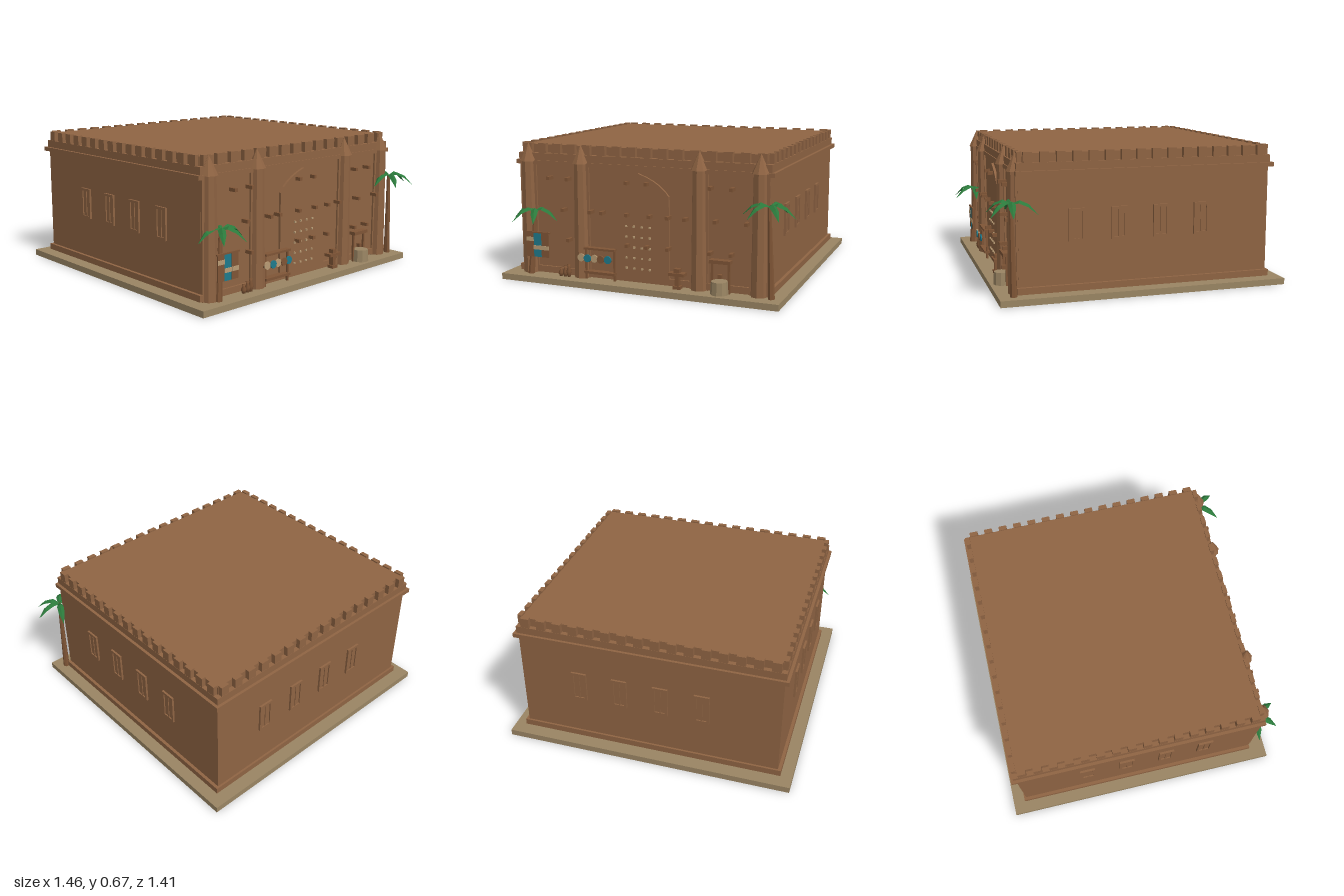
import * as THREE from 'three';

const mat = (name, color, side = THREE.FrontSide) => {
  const m = new THREE.MeshStandardMaterial({ color, side });
  m.name = name;
  return m;
};

export function createModel() {
  const root = new THREE.Group();
  root.name = 'adobeHall';
  const adobe = mat('adobe', 0x8f6443);
  const stone = mat('sandstone', 0x9a8563);
  const wood = mat('wood', 0x7f5536);
  const cream = mat('cream', 0xb99b74);
  const teal = mat('teal', 0x1f7a8c, THREE.DoubleSide);
  const leaf = mat('palmLeaf', 0x2c7a3c, THREE.DoubleSide);

  const add = (name, geo, material, x = 0, y = 0, z = 0, parent = root) => {
    const m = new THREE.Mesh(geo, material);
    m.name = name;
    m.position.set(x, y, z);
    parent.add(m);
    return m;
  };
  // Box given by its two extreme corners
  const box = (name, material, x0, x1, y0, y1, z0, z1, parent = root) =>
    add(name, new THREE.BoxGeometry(x1 - x0, y1 - y0, z1 - z0), material,
      (x0 + x1) / 2, (y0 + y1) / 2, (z0 + z1) / 2, parent);
  // Faceted copy of a round geometry
  const flat = (geo) => {
    const g = geo.toNonIndexed();
    g.computeVertexNormals();
    return g;
  };
  const cyl = (rt, rb, h, n = 8) => flat(new THREE.CylinderGeometry(rt, rb, h, n));

  // Main masses
  box('baseSlab', stone, -0.7, 0.7, 0, 0.03, -0.67, 0.7);
  box('walls', adobe, -0.63, 0.63, 0.03, 0.62, -0.6, 0.605);
  box('plinth', adobe, -0.645, 0.645, 0.035, 0.065, -0.61, 0.615);
  box('cornice', adobe, -0.65, 0.65, 0.565, 0.585, -0.62, 0.615);
  box('parapet', adobe, -0.636, 0.636, 0.585, 0.62, -0.607, 0.61);
  box('roof', adobe, -0.615, 0.615, 0.62, 0.66, -0.585, 0.582);

  // Merlons around the roof edge
  const merlons = new THREE.Group();
  merlons.name = 'merlons';
  root.add(merlons);
  for (let i = 0; i < 16; i++) {
    const p = -0.59 + i * 0.0787;
    for (const z of [-0.595, 0.592]) box('merlon', adobe, p - 0.021, p + 0.021, 0.62, 0.667, z - 0.011, z + 0.011, merlons);
    const q = -0.56 + i * 0.0745;
    for (const x of [-0.624, 0.624]) box('merlon', adobe, x - 0.011, x + 0.011, 0.62, 0.667, q - 0.02, q + 0.02, merlons);
  }

  // Windows: frame with mullion, on both sides and the back
  const addWindow = (x, z, turn) => {
    const g = new THREE.Group();
    g.name = 'window';
    g.position.set(x, 0.335, z);
    g.rotation.y = turn;
    root.add(g);
    for (const s of [-1, 1]) {
      add('jamb', new THREE.BoxGeometry(0.012, 0.15, 0.01), adobe, s * 0.031, 0, 0.005, g);
      add('rail', new THREE.BoxGeometry(0.05, 0.012, 0.01), adobe, 0, s * 0.069, 0.005, g);
    }
    add('pane', new THREE.BoxGeometry(0.05, 0.126, 0.004), adobe, 0, 0, 0.002, g);
    add('mullion', new THREE.BoxGeometry(0.008, 0.126, 0.008), adobe, 0, 0, 0.004, g);
  };
  for (const p of [-0.26, -0.06, 0.14, 0.34]) {
    addWindow(0.63, p, Math.PI / 2);
    addWindow(-0.63, p, -Math.PI / 2);
    addWindow(p, -0.6, Math.PI);
  }

  // Front towers with pointed caps
  for (const x of [-0.585, -0.3, 0.3, 0.585]) {
    box('buttress', adobe, x - 0.044, x + 0.044, 0.03, 0.575, 0.59, 0.614);
    add('tower', cyl(0.033, 0.04, 0.55), adobe, x, 0.305, 0.607);
    add('towerCap', cyl(0.002, 0.042, 0.085), adobe, x, 0.6225, 0.605);
  }

  // Pointed gate with studs
  const arch = new THREE.Shape();
  arch.moveTo(-0.155, 0.065);
  arch.lineTo(0.155, 0.065);
  arch.lineTo(0.155, 0.45);
  arch.quadraticCurveTo(0.11, 0.515, 0, 0.55);
  arch.quadraticCurveTo(-0.11, 0.515, -0.155, 0.45);
  add('gate', new THREE.ExtrudeGeometry(arch, { depth: 0.012, bevelEnabled: false, curveSegments: 5 }), adobe, 0, 0, 0.605);
  for (let i = 0; i < 4; i++) for (let j = 0; j < 5; j++)
    add('gateStud', new THREE.BoxGeometry(0.009, 0.009, 0.008), cream, -0.06 + i * 0.04, 0.1 + j * 0.05, 0.62);

  // Projecting wall beams
  const beamRows = [
    [0.505, [-0.46, -0.36, -0.05, 0.05, 0.36, 0.46]],
    [0.355, [-0.385, -0.24, -0.18, -0.05, 0.065, 0.155, 0.24, 0.385, 0.53]],
    [0.21, [-0.36, -0.05, 0.05, 0.155, 0.36, 0.46]],
  ];
  for (const [y, xs] of beamRows) for (const x of xs)
    box('wallBeam', wood, x - 0.008, x + 0.008, y - 0.008, y + 0.008, 0.6, 0.645);

  // Hanging rugs
  box('rugRail', wood, -0.585, -0.45, 0.236, 0.243, 0.65, 0.658);
  [[-0.56, wood, 0.205], [-0.52, teal, 0.165], [-0.478, wood, 0.165]].forEach(([x, m, y]) => {
    box('rug', m, x - 0.02, x + 0.02, 0.118, 0.237, 0.651, 0.657);
    box('rugStripe', cream, x - 0.02, x + 0.02, y - 0.01, y + 0.01, 0.655, 0.66);
  });

  // Stall with displayed plates
  for (const x of [-0.268, -0.118]) box('stallPost', wood, x - 0.005, x + 0.005, 0.03, 0.185, 0.625, 0.635);
  box('stallTop', wood, -0.273, -0.113, 0.175, 0.185, 0.615, 0.645);
  box('stallCounter', wood, -0.273, -0.113, 0.058, 0.07, 0.61, 0.645);
  box('stallRail', wood, -0.295, -0.12, 0.128, 0.136, 0.646, 0.652);
  [cream, teal, cream, wood, teal].forEach((m, i) => {
    const d = add('plate', new THREE.CylinderGeometry(0.019, 0.019, 0.006, 12), m, -0.28 + i * 0.035, 0.138, 0.658 + (i % 2) * 0.004);
    d.rotation.x = Math.PI / 2;
  });

  // Clay pots
  [[-0.405, 0.04], [-0.382, 0.05], [-0.362, 0.06]].forEach(([x, h]) => {
    const prof = [[0, 0], [0.008, 0], [0.013, 0.45], [0.006, 0.8], [0.009, 1], [0, 1]];
    add('pot', new THREE.LatheGeometry(prof.map(([r, y]) => new THREE.Vector2(r, y * h)), 8), wood, x, 0.03, 0.635);
  });

  // Pedestal table
  box('pedestalFoot', wood, 0.185, 0.222, 0.03, 0.045, 0.617, 0.65);
  box('pedestalStem', wood, 0.193, 0.214, 0.045, 0.092, 0.62, 0.645);
  box('pedestalTop', wood, 0.165, 0.242, 0.092, 0.106, 0.614, 0.652);
  box('pedestalBowl', wood, 0.19, 0.217, 0.106, 0.125, 0.62, 0.645);

  // Well with a small canopy
  add('well', cyl(0.038, 0.042, 0.06, 10), stone, 0.41, 0.06, 0.642);
  for (const x of [0.37, 0.45]) box('wellPost', wood, x - 0.005, x + 0.005, 0.03, 0.17, 0.622, 0.632);
  box('wellCanopy', wood, 0.36, 0.46, 0.168, 0.184, 0.61, 0.645);
  box('wellBucket', wood, 0.401, 0.419, 0.1, 0.118, 0.625, 0.643);

  // Arched palm frond with a raised centre rib
  const frond = () => {
    const st = [[0, 0, 0.006], [0.04, 0.016, 0.017], [0.08, 0, 0.015], [0.122, -0.046, 0.001]];
    const pos = [];
    for (let i = 0; i < 3; i++) for (const s of [-1, 1]) {
      const [a, b] = [st[i], st[i + 1]];
      const ra = [a[0], a[1], 0], rb = [b[0], b[1], 0];
      const ea = [a[0], a[1] - a[2] * 0.7, s * a[2]], eb = [b[0], b[1] - b[2] * 0.7, s * b[2]];
      pos.push(...(s > 0 ? [ra, ea, rb, rb, ea, eb] : [ra, rb, ea, rb, eb, ea]).flat());
    }
    const g = new THREE.BufferGeometry();
    g.setAttribute('position', new THREE.Float32BufferAttribute(pos, 3));
    g.computeVertexNormals();
    return g;
  };
  // Leaning trunk with a crown of fronds
  const palm = (base, top, angles) => {
    const g = new THREE.Group();
    g.name = 'palmTree';
    root.add(g);
    const a = new THREE.Vector3(...base), b = new THREE.Vector3(...top);
    const dir = b.clone().sub(a);
    const t = add('trunk', cyl(0.008, 0.016, dir.length(), 7), wood, 0, 0, 0, g);
    t.position.copy(a).add(b).multiplyScalar(0.5);
    t.quaternion.setFromUnitVectors(new THREE.Vector3(0, 1, 0), dir.normalize());
    for (const deg of angles) add('frond', frond(), leaf, b.x, b.y, b.z, g).rotation.y = deg * Math.PI / 180;
  };
  palm([-0.565, 0.03, 0.645], [-0.54, 0.345, 0.63], [-3, 60, 178, 235, 295]);
  palm([0.648, 0.03, 0.632], [0.634, 0.445, 0.635], [-5, 65, 182, 235, 305]);

  return root;
}
